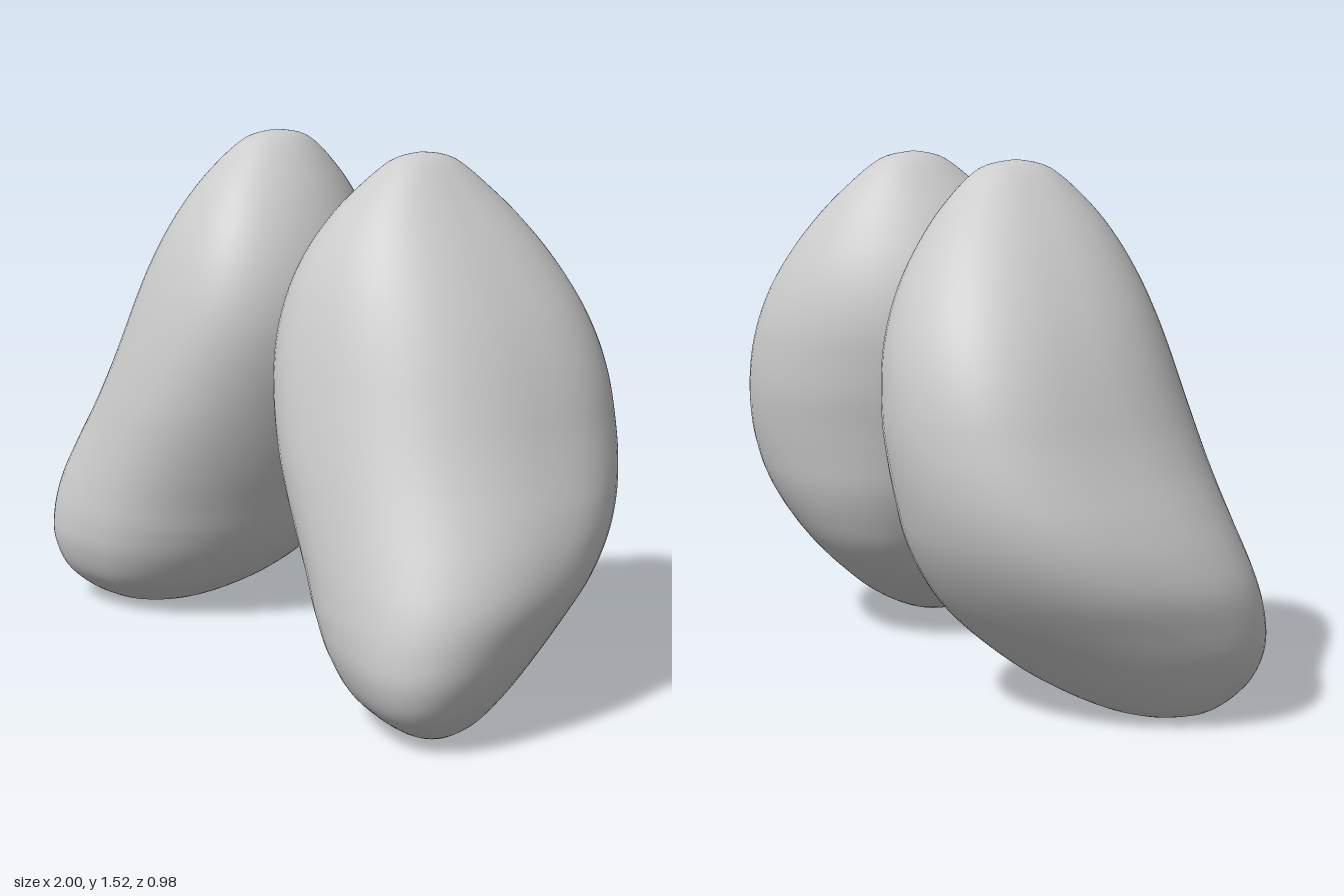
import * as THREE from 'three';

// Horizontal stations of one lobe: y, inner x, outer x, back z, front z, diagonal skew
const STATIONS = [
  [0, 0.70, 0.70, 0.22, 0.22, 0.38],
  [0.02, 0.55, 0.83, 0.08, 0.335, 0.38],
  [0.1, 0.395, 0.91, -0.08, 0.44, 0.38],
  [0.2, 0.28, 0.96, -0.21, 0.485, 0.35],
  [0.3, 0.207, 0.985, -0.31, 0.49, 0.28],
  [0.4, 0.16, 0.998, -0.38, 0.477, 0.18],
  [0.5, 0.12, 0.985, -0.43, 0.461, 0.07],
  [0.6, 0.09, 0.955, -0.46, 0.447, -0.03],
  [0.7, 0.065, 0.915, -0.48, 0.435, -0.1],
  [0.8, 0.042, 0.875, -0.49, 0.42, -0.14],
  [0.9, 0.026, 0.838, -0.488, 0.402, -0.17],
  [1.0, 0.02, 0.795, -0.475, 0.38, -0.18],
  [1.1, 0.032, 0.742, -0.447, 0.351, -0.18],
  [1.2, 0.063, 0.676, -0.403, 0.312, -0.17],
  [1.3, 0.113, 0.60, -0.342, 0.257, -0.15],
  [1.4, 0.18, 0.512, -0.262, 0.178, -0.1],
  [1.5, 0.27, 0.41, -0.15, 0.06, 0],
  [1.525, 0.34, 0.34, -0.04, -0.04, 0],
];
const RINGS = 85, SIDES = 64;

// One smooth curve per station column
const columns = STATIONS[0].map((_, c) =>
  new THREE.SplineCurve(STATIONS.map((s, i) => new THREE.Vector2(i, s[c]))));

// Squares off a sine or cosine; lower powers give fuller corners
const full = (v, power) => Math.sign(v) * Math.abs(v) ** power;

// Stack skewed oval sections into a closed lobe; side is +1 or -1
function lobeGeometry(side) {
  const positions = [], index = [];
  const tri = (a, b, c) => (side > 0 ? index.push(a, b, c) : index.push(a, c, b));

  for (let i = 1; i < RINGS; i++) {
    const [y, x0, x1, z0, z1, skew] = columns.map((c) => c.getPoint(i / RINGS).y);
    const tilt = Math.asin(skew);
    for (let j = 0; j < SIDES; j++) {
      const t = (j / SIDES) * Math.PI * 2;
      // Fullest at the outer front, plain oval at the inner back
      const power = 0.92 - 0.08 * Math.cos(t - Math.PI / 4);
      const x = (x0 + x1) / 2 + ((x1 - x0) / 2) * full(Math.cos(t), power);
      const z = (z0 + z1) / 2 + ((z1 - z0) / 2) * full(Math.sin(t + tilt), power);
      positions.push(side * x, Math.max(0, y), z);
    }
  }
  // Bottom and top poles
  const bottom = positions.length / 3, top = bottom + 1;
  for (const s of [STATIONS[0], STATIONS[STATIONS.length - 1]]) positions.push(side * s[1], s[0], s[3]);

  const last = (RINGS - 2) * SIDES;
  for (let j = 0; j < SIDES; j++) {
    const k = (j + 1) % SIDES;
    tri(bottom, j, k);
    tri(top, last + k, last + j);
    for (let i = 0; i < RINGS - 2; i++) {
      const a = i * SIDES + j, b = i * SIDES + k;
      tri(a, a + SIDES, b);
      tri(b, a + SIDES, b + SIDES);
    }
  }
  const geometry = new THREE.BufferGeometry();
  geometry.setAttribute('position', new THREE.Float32BufferAttribute(positions, 3));
  geometry.setIndex(index);
  geometry.computeVertexNormals();
  return geometry;
}

export function createModel() {
  const grey = new THREE.MeshStandardMaterial({ color: 0xcccccc });
  grey.name = 'light grey';
  const model = new THREE.Group();
  model.name = 'lobePair';
  for (const [name, side] of [['leftLobe', 1], ['rightLobe', -1]]) {
    const mesh = new THREE.Mesh(lobeGeometry(side), grey);
    mesh.name = name;
    model.add(mesh);
  }
  return model;
}
